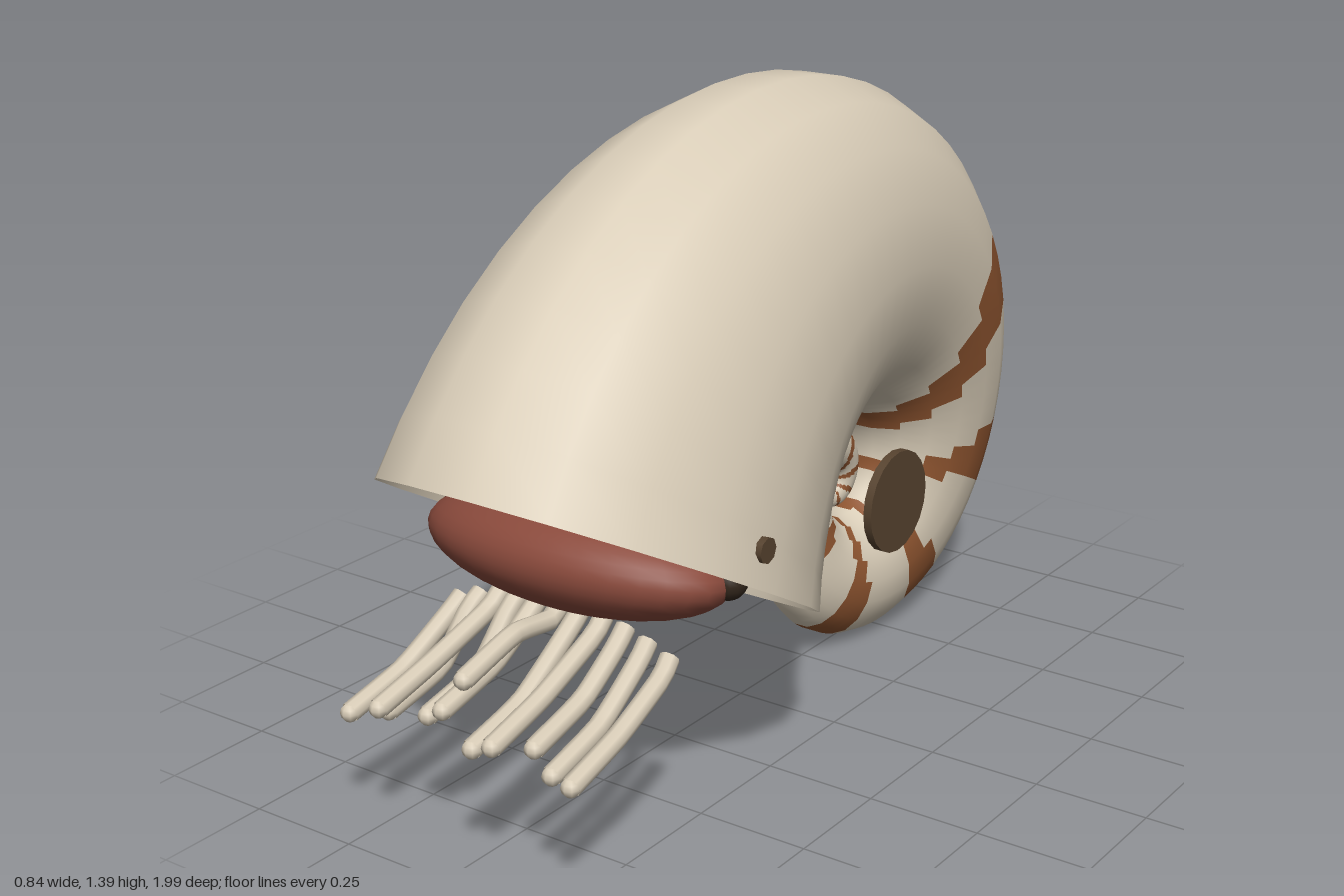
import * as THREE from 'three';

const mat = (name, color, side = THREE.FrontSide) => {
  const m = new THREE.MeshStandardMaterial({ color, side });
  m.name = name;
  return m;
};

// Logarithmic spiral in the z-y plane around the coil centre
const CZ = -0.365, CY = 0.408, START = 8.5, END = 680, STEP = 6, SIDES = 18;
const rad = THREE.MathUtils.degToRad;
const spiralRadius = (deg) => 0.862 * Math.exp(-0.00517 * (deg - START));

// Coiled tube of elliptical sections, split into cream and striped faces
function shellGeometry() {
  const pos = [], cream = [], brown = [];
  const rings = Math.floor((END - START) / STEP);
  for (let i = 0; i <= rings; i++) {
    const deg = START + i * STEP, r = spiralRadius(deg);
    const lip = Math.max(0, 1 - i / 3); // the mouth leans slightly further
    const n = rad(deg + 16.5 + 4.2 * lip), half = r * (0.657 - 0.01 * lip);
    const z = CZ + r * Math.cos(rad(deg)), y = CY + r * Math.sin(rad(deg));
    for (let j = 0; j < SIDES; j++) {
      const a = ((j + 0.5) / SIDES) * Math.PI * 2, h = half * Math.cos(a);
      pos.push(r * 0.487 * Math.sin(a), y + h * Math.sin(n), z + h * Math.cos(n));
    }
  }
  for (let i = 0; i < rings; i++) {
    for (let j = 0; j < SIDES; j++) {
      const k = (j + 1) % SIDES;
      const a = i * SIDES + j, b = i * SIDES + k, c = a + SIDES, d = b + SIDES;
      // stripes lag towards the inner side of the coil
      const angle = ((j + 1) / SIDES) * Math.PI * 2;
      const lag = 24 * Math.pow((1 - Math.cos(angle)) / 2, 3);
      const t = START + (i + 0.5) * STEP - lag - 122;
      const striped = t > 0 && (t % 48.5) < (t < 48 ? 19 : 15);
      (striped ? brown : cream).push(a, b, c, b, d, c);
    }
  }
  const g = new THREE.BufferGeometry();
  g.setAttribute('position', new THREE.Float32BufferAttribute(pos, 3));
  g.setIndex([...cream, ...brown]);
  g.addGroup(0, cream.length, 0);
  g.addGroup(cream.length, brown.length, 1);
  g.computeVertexNormals();
  return g;
}

export function createModel() {
  const model = new THREE.Group();
  model.name = 'nautilus';
  const shellCream = mat('shell cream', 0xd9cdb8, THREE.DoubleSide);
  const stripeBrown = mat('stripe brown', 0x8f5530, THREE.DoubleSide);
  const bodyRed = mat('body red', 0x8a4a3c);
  const darkBrown = mat('dark brown', 0x57432f);
  const eyeDark = mat('eye dark', 0x33271c);

  const add = (name, geometry, material, x = 0, y = 0, z = 0, parent = model) => {
    const m = new THREE.Mesh(geometry, material);
    m.name = name;
    m.position.set(x, y, z);
    parent.add(m);
    return m;
  };

  add('shell', shellGeometry(), [shellCream, stripeBrown]);

  // Soft body filling the mouth
  const body = add('body', new THREE.SphereGeometry(1, 32, 20), bodyRed, 0, 0.558, 0.57);
  body.scale.set(0.36, 0.115, 0.188);
  body.rotation.x = -0.2;

  // Paired side parts
  const hub = new THREE.CylinderGeometry(0.12, 0.12, 0.02, 20).rotateZ(Math.PI / 2);
  const stud = new THREE.CylinderGeometry(0.027, 0.027, 0.05, 8).rotateZ(Math.PI / 2);
  const eye = new THREE.SphereGeometry(0.04, 14, 10);
  for (const [side, s] of [['left', 1], ['right', -1]]) {
    add(side + 'Hub', hub, darkBrown, s * 0.175, 0.404, -0.364);
    add(side + 'Eye', eye, eyeDark, s * 0.34, 0.562, 0.53);
    add(side + 'EyeSpot', stud, darkBrown, s * 0.388, 0.63, 0.5);
  }

  // Bent tentacles: x, tip height, tip z
  const tentacles = [
    [-0.285, 0.27, 0.94], [-0.228, 0.27, 0.89], [-0.172, 0.325, 0.975], [-0.115, 0.295, 0.9],
    [-0.058, 0.33, 0.92], [0, 0.41, 0.92], [0.055, 0.3, 0.965], [0.113, 0.325, 0.975],
    [0.17, 0.315, 0.92], [0.228, 0.285, 0.94], [0.285, 0.285, 0.955],
  ];
  const group = new THREE.Group();
  group.name = 'tentacles';
  model.add(group);
  const tip = new THREE.SphereGeometry(0.02, 8, 6);
  for (const [x, y, z] of tentacles) {
    const top = 0.47 - 0.7 * x * x;
    const path = new THREE.CatmullRomCurve3([
      new THREE.Vector3(x * 0.93, top, 0.62),
      new THREE.Vector3(x * 0.95, top - 0.03, 0.66),
      new THREE.Vector3(x * 0.98, y + 0.04, z - 0.15),
      new THREE.Vector3(x, y, z),
    ], false, 'catmullrom', 0.25);
    add('tentacle', new THREE.TubeGeometry(path, 12, 0.021, 8), shellCream, 0, 0, 0, group);
    add('tentacleTip', tip, shellCream, x, y, z, group);
  }
  return model;
}
